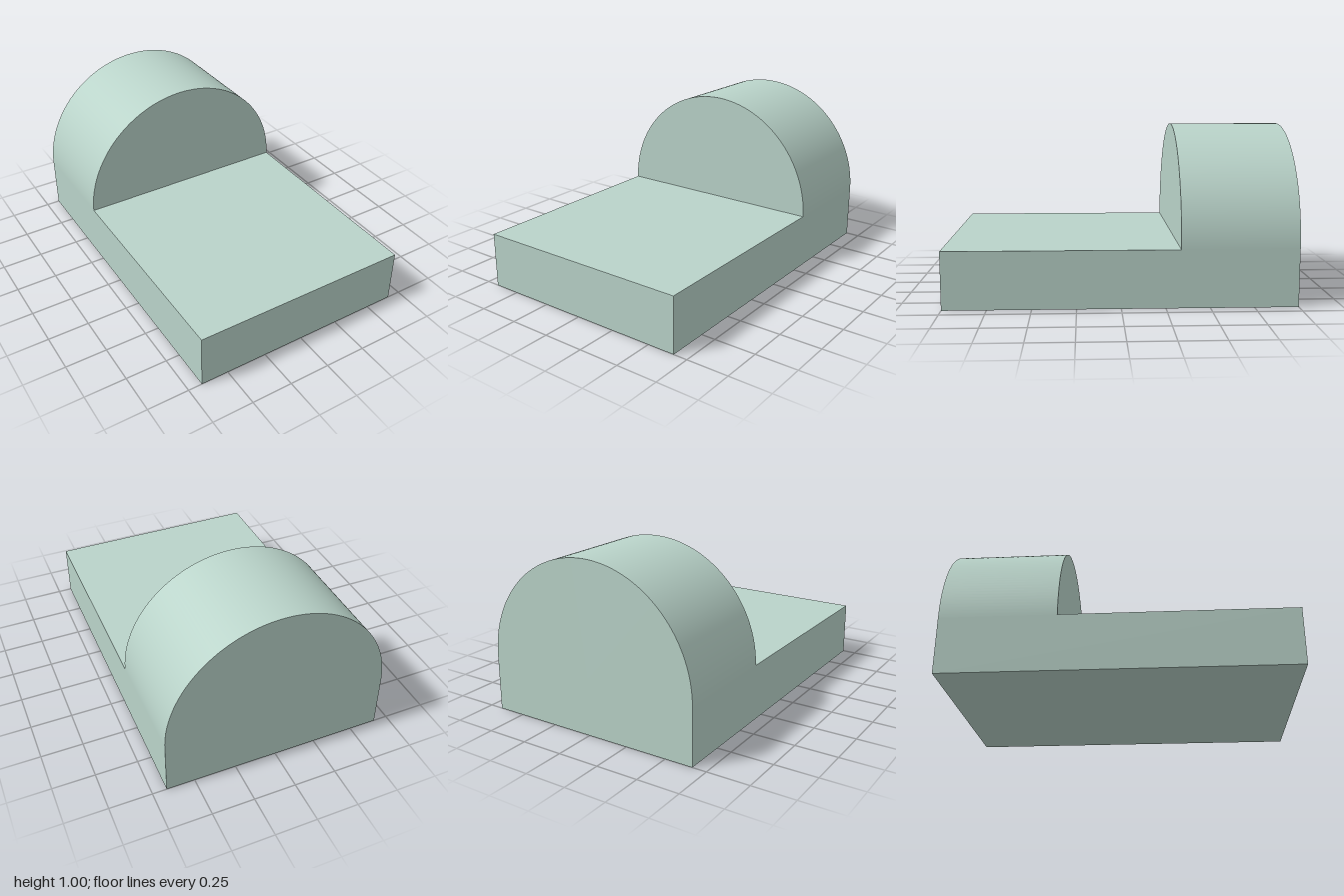
import * as THREE from 'three';

const WIDTH = 4 / 3;
const LENGTH = 2;
const SLAB_HEIGHT = 1 / 3;
const ARCH_DEPTH = 2 / 3;

export function createModel() {
  const group = new THREE.Group();
  group.name = 'archedBlock';
  const material = new THREE.MeshStandardMaterial({ color: 0xb9d3c9 });

  // Flat slab running the full length
  const slab = new THREE.Mesh(new THREE.BoxGeometry(WIDTH, SLAB_HEIGHT, LENGTH), material);
  slab.name = 'baseSlab';
  slab.position.y = SLAB_HEIGHT / 2;
  group.add(slab);

  // Half cylinder lying along z, flush with the slab's sides and back
  const radius = WIDTH / 2;
  const archGeometry = new THREE.CylinderGeometry(
    radius, radius, ARCH_DEPTH, 96, 1, false, Math.PI / 2, Math.PI
  ).rotateX(Math.PI / 2);
  const arch = new THREE.Mesh(archGeometry, material);
  arch.name = 'roundedBack';
  arch.position.set(0, SLAB_HEIGHT, -LENGTH / 2 + ARCH_DEPTH / 2);
  group.add(arch);

  return group;
}
